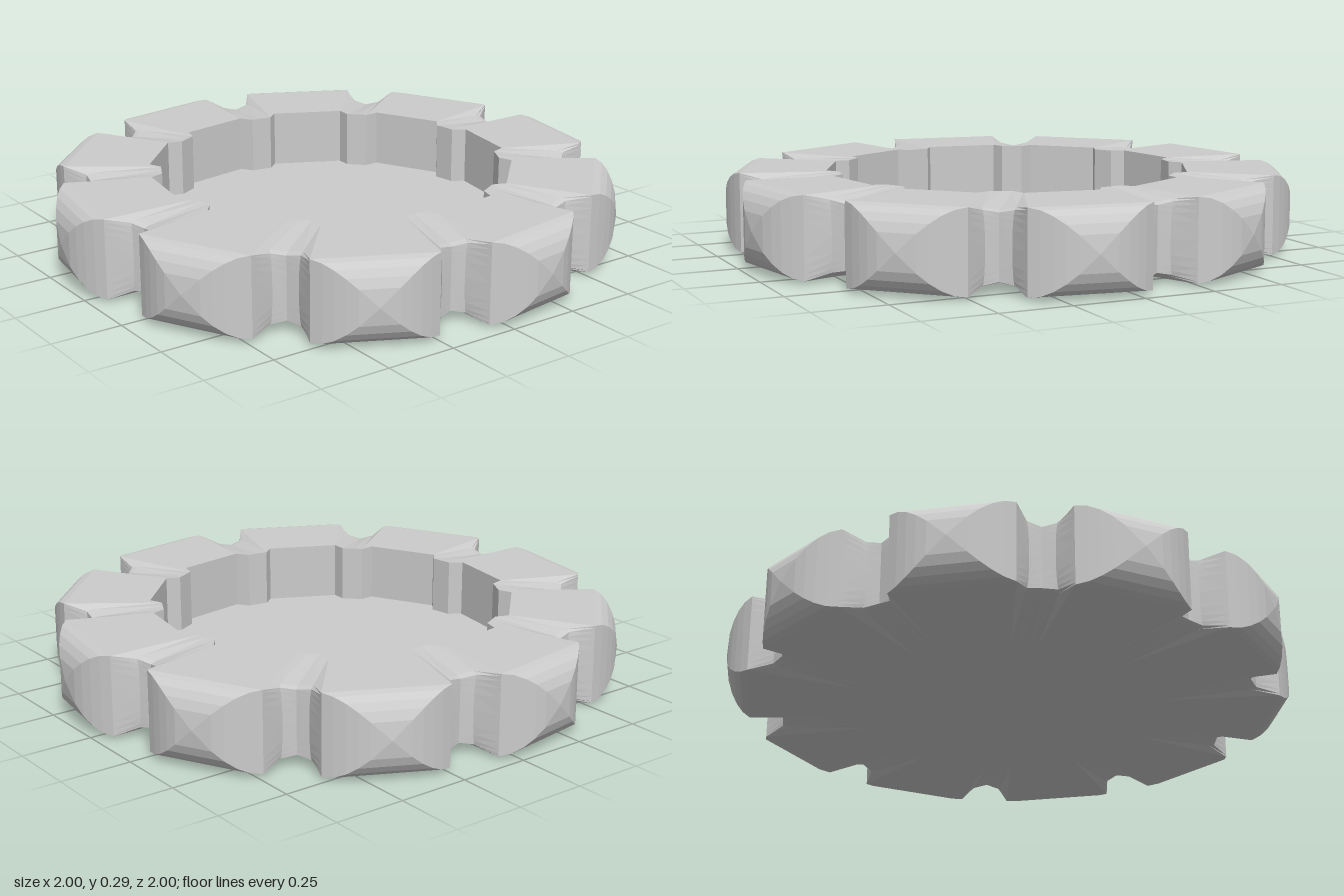
import * as THREE from 'three';

const LOBES = 10, STEP = (Math.PI * 2) / LOBES, START = THREE.MathUtils.degToRad(-9);
const MID = 0.15, HALF = 0.14, FLOOR = 0.085;

// Shared levels make the vertical arc and the rounded edge of each lobe meet on grid diagonals
const LEVELS = [0, 0.3, 0.55, 0.75, 0.9, 1];
const SPAN = [...LEVELS.map((t) => [t, -1]), ...LEVELS.slice(0, -1).reverse().map((t) => [t, 1])];

// Point at tangential offset u and distance d, turned to angle a
const at = (a, u, d, y) => [d * Math.sin(a) + u * Math.cos(a), y, -d * Math.cos(a) + u * Math.sin(a)];

// Full cross-section: floor centre, inner wall, top, outer wall, underside, base centre
function section(a, innerU, innerD, outer, baseU) {
  const wall = SPAN.map(([t, side]) => outer(t, side));
  return [
    [0, FLOOR, 0], at(a, innerU, innerD, FLOOR), at(a, innerU, innerD, MID + HALF),
    ...wall, at(a, baseU, 0.54, 0), [0, 0, 0],
  ];
}

function lobeSections(a) {
  return SPAN.map(([tc, side]) => {
    const u = side * Math.sqrt(1 - tc);
    return section(a, u * 0.129, 0.632, (t, s) =>
      at(a, u * 0.205, 0.925 + 0.085 * Math.min(t, tc), MID - s * HALF * Math.sqrt(1 - t * t)), u * 0.11);
  });
}

// Grooves between lobes, dipping slightly at the top and underside
function notchSections(a) {
  return [[-1, 0.865, 0.125], [0, 0.85, 0.115], [1, 0.865, 0.125]].map(([k, r, h]) =>
    section(a, k * 0.038, 0.603, (t, s) =>
      at(a, k * (0.052 - 0.01 * t), r - (t === 0 ? 0.02 : 0), MID - s * h * Math.sqrt(1 - t * t)), k * 0.03));
}

// Skin a range of rows between neighbouring sections
function skin(sections, perSector, from, to) {
  const pos = [], first = 3, last = first + SPAN.length - 1, half = LEVELS.length - 1;
  const tri = (p, q, r) => pos.push(...p, ...q, ...r);
  sections.forEach((s, i) => {
    const n = sections[(i + 1) % sections.length], col = i % perSector;
    for (let j = from; j < to; j++) {
      const a = s[j], b = s[j + 1], c = n[j + 1], d = n[j];
      const onWall = j >= first && j < last;
      const flip = onWall && (col < half) !== (j - first < half);
      if (j === 0) tri(a, c, b);
      else if (j === s.length - 2) tri(a, d, b);
      else if (flip) { tri(a, d, b); tri(d, c, b); }
      else { tri(a, d, c); tri(a, c, b); }
    }
  });
  const geo = new THREE.BufferGeometry();
  geo.setAttribute('position', new THREE.Float32BufferAttribute(pos, 3));
  geo.computeVertexNormals();
  return geo;
}

export function createModel() {
  const group = new THREE.Group();
  group.name = 'scallopedDish';
  const material = new THREE.MeshStandardMaterial({ color: 0xcccccc, flatShading: true });

  const sections = [];
  for (let k = 0; k < LOBES; k++) {
    const a = START + k * STEP;
    sections.push(...lobeSections(a), ...notchSections(a + STEP / 2));
  }
  const perSector = sections.length / LOBES, end = sections[0].length - 1;
  const outerEnd = 3 + SPAN.length - 1;

  const parts = [
    ['dishFloor', 0, 1], ['innerWall', 1, 2], ['rimTop', 2, 3],
    ['scallopedOuterWall', 3, outerEnd], ['underside', outerEnd, end],
  ];
  for (const [name, from, to] of parts) {
    const mesh = new THREE.Mesh(skin(sections, perSector, from, to), material);
    mesh.name = name;
    group.add(mesh);
  }
  return group;
}
